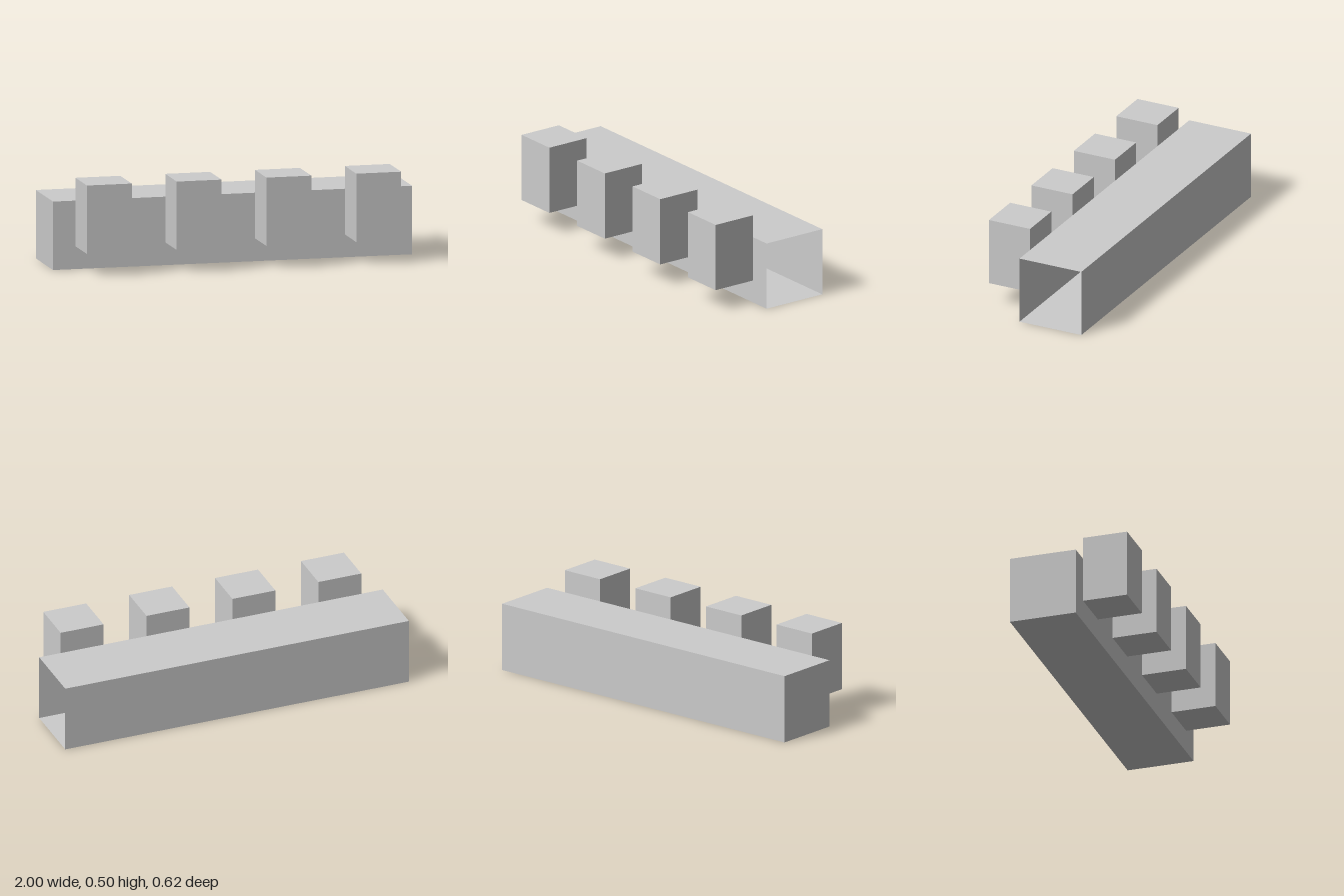
import * as THREE from 'three';

export function createModel() {
  const group = new THREE.Group();
  const material = new THREE.MeshStandardMaterial({ color: 0xcccccc, flatShading: true, side: THREE.DoubleSide });

  // Long hollow beam: a box whose +x end is left open
  const beamGeometry = new THREE.BoxGeometry(2, 0.375, 0.375);
  beamGeometry.setIndex(Array.from(beamGeometry.index.array).slice(6));
  beamGeometry.clearGroups();
  const beam = new THREE.Mesh(beamGeometry, material);
  beam.name = 'beam';
  beam.position.set(0, 0.1875, -0.125);
  group.add(beam);

  // Four raised blocks along the front
  const blockGeometry = new THREE.BoxGeometry(0.25, 0.375, 0.25);
  for (let i = 0; i < 4; i++) {
    const block = new THREE.Mesh(blockGeometry, material);
    block.name = `block${i + 1}`;
    block.position.set(-0.75 + i * 0.5, 0.3125, 0.1875);
    group.add(block);
  }

  return group;
}
